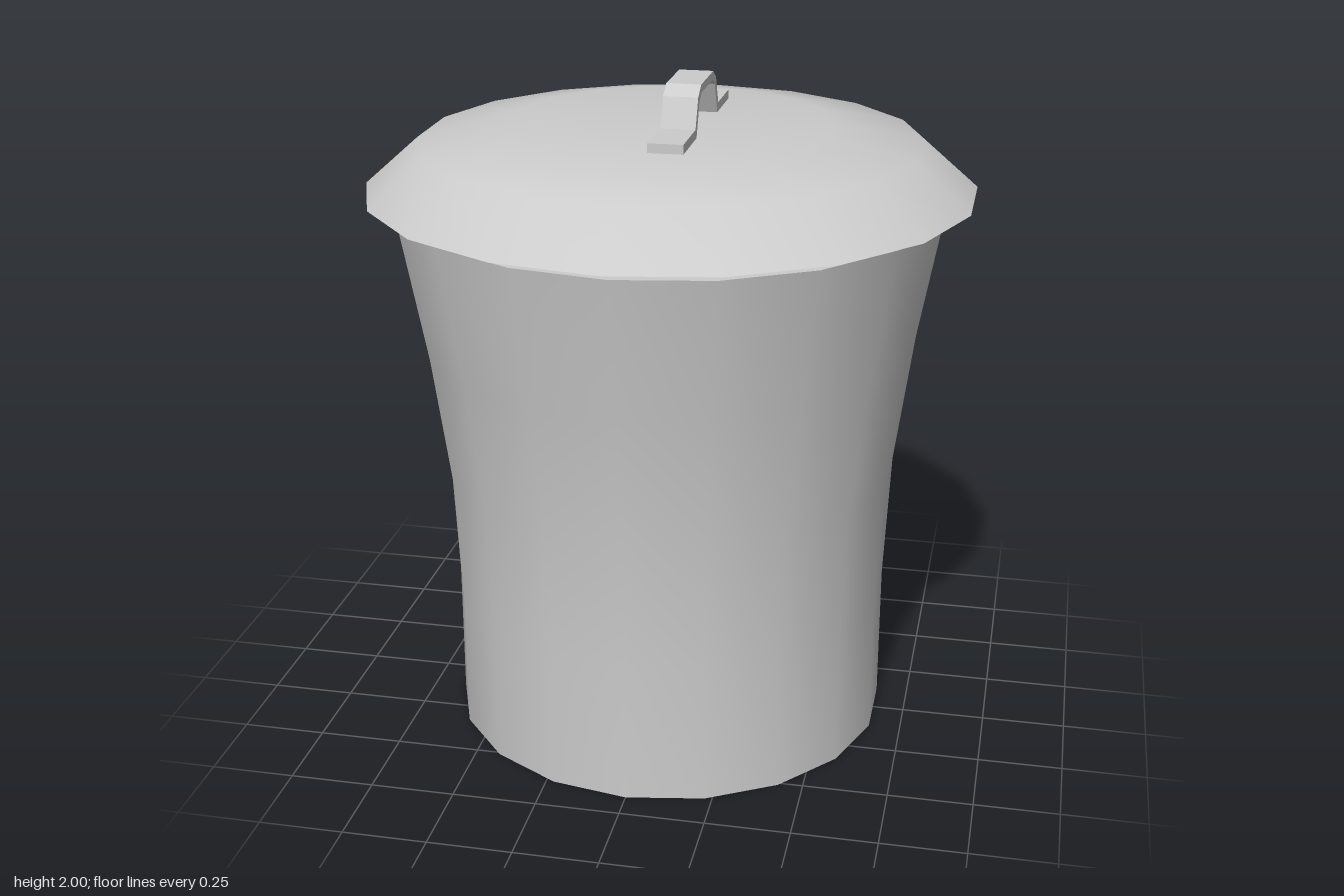
import * as THREE from 'three';
import { toCreasedNormals } from 'three/addons/utils/BufferGeometryUtils.js';

const SIDES = 18;
const material = new THREE.MeshStandardMaterial({ color: 0xcccccc });

// Closed turned solid from [radius, height] pairs, listed bottom to top
function turned(name, profile) {
  const points = profile.map(([r, y]) => new THREE.Vector2(r, y));
  const geometry = toCreasedNormals(new THREE.LatheGeometry(points, SIDES), 0.7);
  const mesh = new THREE.Mesh(geometry, material);
  mesh.name = name;
  return mesh;
}

// Bent flat strip with two feet, drawn in (z, y) and extruded along x
function makeHandle() {
  const outline = [
    [0.385, 1.862], [0.195, 1.862], [0.152, 1.957], [0.12, 1.976],
    [-0.053, 1.976], [-0.085, 1.957], [-0.13, 1.862], [-0.32, 1.862],
    [-0.32, 1.89], [-0.145, 1.89], [-0.105, 1.973], [-0.06, 2.0],
    [0.127, 2.0], [0.172, 1.973], [0.21, 1.89], [0.385, 1.89],
  ];
  const shape = new THREE.Shape(outline.map(([z, y]) => new THREE.Vector2(z, y)));
  const geometry = new THREE.ExtrudeGeometry(shape, { depth: 0.1, bevelEnabled: false });
  const mesh = new THREE.Mesh(geometry, material);
  mesh.name = 'handle';
  mesh.rotation.y = -Math.PI / 2;
  mesh.position.x = 0.113;
  return mesh;
}

export function createModel() {
  const bin = new THREE.Group();
  bin.name = 'lidded bin';

  // Flared body
  bin.add(turned('body', [
    [0, 0], [0.665, 0], [0.665, 0.42], [0.683, 0.81],
    [0.737, 1.21], [0.815, 1.637], [0, 1.637],
  ]));

  // Domed lid, hovering just above the rim
  bin.add(turned('lid', [
    [0, 1.672], [0.895, 1.672], [0.738, 1.81], [0.47, 1.863], [0, 1.863],
  ]));

  bin.add(makeHandle());
  return bin;
}
